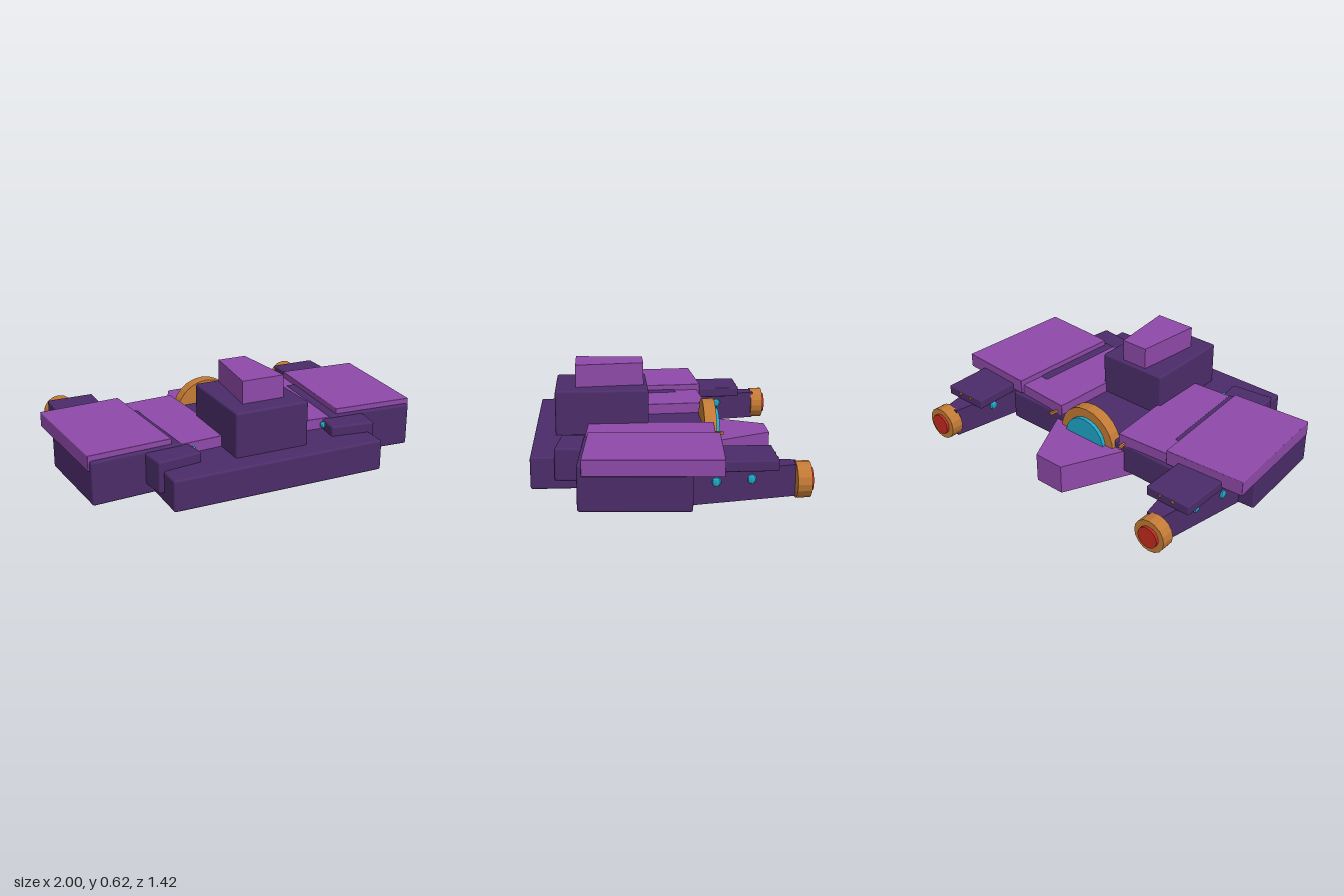
import * as THREE from 'three';
import { RoundedBoxGeometry } from 'three/addons/geometries/RoundedBoxGeometry.js';

const mat = (name, color, flatShading = false) => {
  const m = new THREE.MeshStandardMaterial({ color, flatShading });
  m.name = name;
  return m;
};

export function createModel() {
  const dark = mat('darkPurple', 0x4b2c69);
  const light = mat('lightPurple', 0x8e49a8);
  const bronze = mat('bronze', 0xc27a35, true);
  const teal = mat('teal', 0x1fa8c9, true);
  const red = mat('red', 0xc42a1e, true);
  const model = new THREE.Group();

  const add = (name, geo, material, x = 0, y = 0, z = 0, ry = 0) => {
    const mesh = new THREE.Mesh(geo, material);
    mesh.name = name;
    mesh.position.set(x, y, z);
    mesh.rotation.y = ry;
    model.add(mesh);
    return mesh;
  };
  // Box placed by its bottom and top heights, with softened edges where r > 0
  const box = (name, material, w, d, y0, y1, x, z, ry = 0, r = 0.012) =>
    add(name, r ? new RoundedBoxGeometry(w, y1 - y0, d, 2, r) : new THREE.BoxGeometry(w, y1 - y0, d),
      material, x, (y0 + y1) / 2, z, ry);
  // Upright prism tapering symmetrically in x; rows are [half width, z] from front to back
  const prism = (name, material, rows, y0, y1, x = 0) => {
    const pts = [...rows.map(([w, z]) => [w, z]), ...rows.slice().reverse().map(([w, z]) => [-w, z])];
    const shape = new THREE.Shape(pts.map(([w, z]) => new THREE.Vector2(w, -z)));
    const geo = new THREE.ExtrudeGeometry(shape, { depth: y1 - y0, bevelEnabled: false });
    geo.rotateX(-Math.PI / 2);
    return add(name, geo, material, x, y0, 0);
  };
  // Disc with its axis along z
  const disc = (name, material, r, z0, z1, x, y, sides) => {
    const geo = new THREE.CylinderGeometry(r, r, z1 - z0, sides);
    geo.rotateX(Math.PI / 2);
    return add(name, geo, material, x, y, (z0 + z1) / 2);
  };

  // Central hull, tower and cabin
  box('hull', dark, 1.21, 0.985, 0.077, 0.25, 0, 0.2115);
  box('tower', dark, 0.42, 0.51, 0.24, 0.495, 0, 0.332);
  prism('cabin', light, [[0.12, 0.475], [0.08, 0.1]], 0.49, 0.62);

  // Tail wedge with the main rear thruster
  prism('tail', light, [[0.31, -0.16], [0.25, -0.28], [0.09, -0.612]], 0.04, 0.21);
  disc('mainThrusterRing', bronze, 0.19, -0.305, -0.237, 0, 0.194, 24);
  disc('mainThrusterGlow', teal, 0.137, -0.327, -0.3, 0, 0.194, 24);

  for (const s of [1, -1]) {
    const side = s > 0 ? 'left' : 'right';
    const tilt = -s * 0.065;

    // Wing pods and the armour plates above them
    box(side + 'Pod', dark, 0.505, 0.56, 0.077, 0.315, s * 0.71, 0.166, tilt);
    box(side + 'OuterPlate', light, 0.463, 0.69, 0.26, 0.345, s * 0.746, 0.08, tilt, 0.004);
    box(side + 'InnerPlate', light, 0.33, 0.69, 0.24, 0.31, s * 0.355, 0.073, tilt, 0.004);
    box(side + 'UnderPad', dark, 0.3, 0.31, 0.062, 0.1, s * 0.488, 0.225, tilt, 0.006);

    // Front clamp with its small lamp
    box(side + 'FrontClamp', dark, 0.25, 0.25, 0.13, 0.305, s * 0.525, 0.44, -s * 0.13);
    add(side + 'ClampLamp', new THREE.SphereGeometry(0.018, 8, 6), teal, s * 0.39, 0.28, 0.445);

    // Tapered rear arm under a square deck
    prism(side + 'RearArm', dark, [[0.145, -0.09], [0.04, -0.64]], 0.08, 0.245, s * 0.745);
    box(side + 'RearDeck', dark, 0.267, 0.43, 0.242, 0.298, s * 0.745, -0.317, 0, 0.008);
    for (const z of [-0.22, -0.4]) {
      const half = 0.04 + (z + 0.64) * 0.191;
      for (const f of [1, -1]) {
        const lamp = add(side + 'ArmLamp', new THREE.SphereGeometry(0.025, 8, 6), teal,
          s * 0.745 + f * half, 0.19, z);
        lamp.scale.x = 0.5;
      }
    }

    // Arm thruster
    disc(side + 'ThrusterRing', bronze, 0.093, -0.7, -0.628, s * 0.768, 0.163, 16);
    disc(side + 'ThrusterGlow', red, 0.06, -0.715, -0.69, s * 0.768, 0.163, 16);

    // Small bronze studs and pegs
    for (const x of [0.7, 0.78])
      add(side + 'DeckStud', new THREE.SphereGeometry(0.009, 8, 6), bronze, s * x, 0.28, -0.533);
    box(side + 'Peg', bronze, 0.012, 0.06, 0.253, 0.267, s * 0.255, -0.303, -s * 0.15, 0);
  }
  return model;
}
